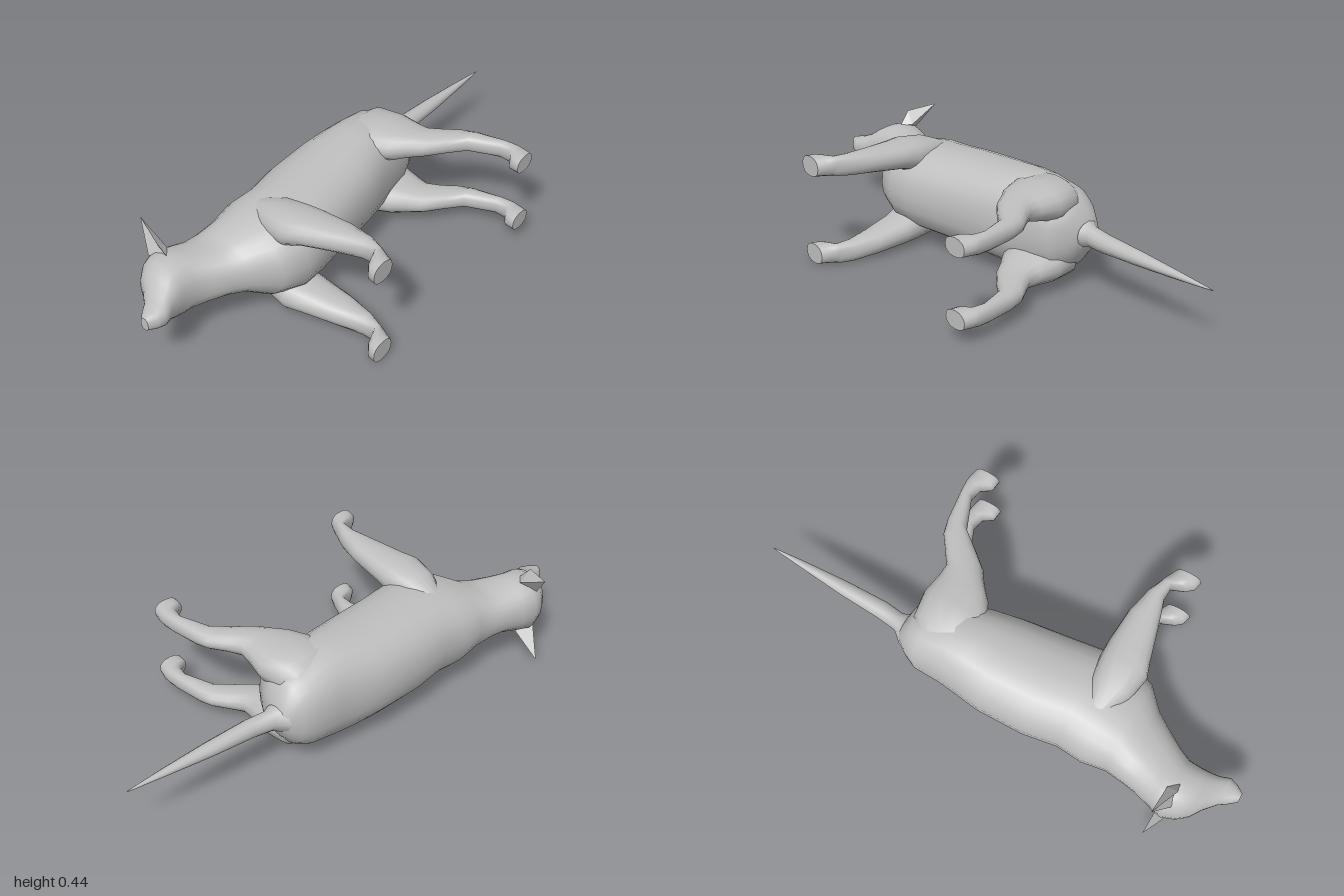
import * as THREE from 'three';

const MID = 0.22; // mirror plane: the animal lies on its side, feet towards +z
const fur = new THREE.MeshStandardMaterial({ color: 0xbfbfbf });
fur.name = 'greyFur';

// Loft of rounded rings {c, a, b}: centre and two half axes, a x b pointing along the loft
function loft(rings, n = 20, power = 2.3) {
  const pos = [], idx = [];
  const soft = (v) => Math.sign(v) * Math.abs(v) ** (2 / power);
  const addRing = ({ c, a, b }) => {
    for (let j = 0; j < n; j++) {
      const t = (j / n) * Math.PI * 2, u = soft(Math.cos(t)), v = soft(Math.sin(t));
      pos.push(...[0, 1, 2].map((k) => c[k] + a[k] * u + b[k] * v));
    }
  };
  rings.forEach(addRing);
  for (let i = 0; i < rings.length - 1; i++) {
    for (let j = 0; j < n; j++) {
      const p = i * n + j, q = i * n + ((j + 1) % n);
      idx.push(p, q, p + n, q, q + n, p + n);
    }
  }
  // Flat end caps with their own vertices so the rim stays sharp
  [rings[0], rings[rings.length - 1]].forEach((ring, end) => {
    const s = pos.length / 3;
    addRing(ring);
    pos.push(...ring.c);
    for (let j = 0; j < n; j++) {
      const p = s + j, q = s + ((j + 1) % n);
      if (end) idx.push(p, q, s + n);
      else idx.push(q, p, s + n);
    }
  });
  return finish(pos, idx);
}

function finish(pos, idx) {
  const g = new THREE.BufferGeometry();
  g.setAttribute('position', new THREE.Float32BufferAttribute(pos, 3));
  g.setIndex(idx);
  g.computeVertexNormals();
  return g;
}

// Section along x: [x, back z, belly z, half width]
const spineRing = ([x, z0, z1, w]) => ({
  c: [x, MID, (z0 + z1) / 2], a: [0, w, 0], b: [0, 0, (z1 - z0) / 2],
});

// Section along a leg: [z, x0, x1, outer y, inner y], mirrored by side
const legRing = (side) => ([z, x0, x1, y0, y1]) => ({
  c: [(x0 + x1) / 2, MID + side * (MID - (y0 + y1) / 2), z],
  a: [(x1 - x0) / 2, 0, 0], b: [0, (y1 - y0) / 2, 0],
});

const BODY = [
  [-1, -0.2, -0.165, 0.026], [-0.97, -0.225, -0.145, 0.035], [-0.94, -0.245, -0.135, 0.042],
  [-0.9, -0.29, -0.15, 0.06], [-0.87, -0.335, -0.155, 0.085], [-0.83, -0.365, -0.158, 0.108],
  [-0.78, -0.383, -0.155, 0.115], [-0.73, -0.37, -0.13, 0.108], [-0.66, -0.35, -0.085, 0.097],
  [-0.6, -0.34, -0.045, 0.105], [-0.53, -0.33, 0.03, 0.14], [-0.43, -0.345, 0.07, 0.165],
  [-0.33, -0.335, 0.063, 0.172], [-0.19, -0.358, 0.043, 0.175], [0, -0.36, 0.017, 0.182],
  [0.1, -0.345, -0.005, 0.19], [0.18, -0.335, -0.025, 0.188], [0.29, -0.333, -0.04, 0.165],
  [0.34, -0.31, -0.06, 0.14], [0.375, -0.285, -0.12, 0.09], [0.39, -0.27, -0.16, 0.05],
];

const TAIL = [
  [0.32, -0.31, -0.13, 0.08], [0.38, -0.285, -0.16, 0.055], [0.42, -0.25, -0.178, 0.04],
  [0.5, -0.24, -0.168, 0.035], [0.67, -0.23, -0.17, 0.026], [0.85, -0.212, -0.18, 0.014],
  [1, -0.196, -0.192, 0.002],
];

const FRONT_LEG = [
  [-0.22, -0.43, -0.37, 0.07, 0.15], [-0.1, -0.49, -0.33, 0.02, 0.15],
  [0, -0.51, -0.32, 0.01, 0.135], [0.06, -0.49, -0.32, 0.01, 0.115],
  [0.19, -0.455, -0.33, 0.005, 0.095], [0.29, -0.425, -0.355, 0, 0.085],
  [0.345, -0.425, -0.38, 0, 0.08], [0.365, -0.48, -0.385, 0, 0.08],
  [0.385, -0.505, -0.395, 0, 0.08], [0.415, -0.512, -0.41, 0, 0.08],
];

const HIND_LEG = [
  [-0.27, 0.2, 0.3, 0.08, 0.16], [-0.2, 0.11, 0.355, 0.028, 0.18],
  [-0.1, 0.1, 0.37, 0.028, 0.17], [-0.02, 0.14, 0.355, 0.035, 0.15],
  [0.03, 0.185, 0.35, 0.04, 0.135], [0.08, 0.22, 0.385, 0.045, 0.125],
  [0.135, 0.285, 0.425, 0.05, 0.12], [0.19, 0.355, 0.44, 0.05, 0.12],
  [0.31, 0.405, 0.455, 0.05, 0.12], [0.36, 0.395, 0.46, 0.05, 0.12],
  [0.385, 0.355, 0.46, 0.05, 0.12], [0.425, 0.35, 0.45, 0.05, 0.12],
];

// Pointed ear: a rim fanned to a hollow front centre and a bulging back centre
function ear(side) {
  const rim = [[-0.75, 0.185, -0.43], [-0.797, 0.165, -0.315], [-0.79, 0.11, -0.27], [-0.8, 0.08, -0.355]];
  const front = [-0.777, 0.125, -0.325], back = [-0.755, 0.115, -0.305];
  const pos = [], idx = [];
  rim.forEach((p, i) => {
    const q = rim[(i + 1) % rim.length];
    [[p, q, back], [q, p, front]].forEach((tri) => {
      if (side < 0) tri.reverse();
      tri.forEach(([x, y, z]) => {
        idx.push(pos.length / 3);
        pos.push(x, MID + side * y, z);
      });
    });
  });
  return finish(pos, idx);
}

export function createModel() {
  const model = new THREE.Group();
  model.name = 'animal';
  const add = (name, geometry) => {
    const mesh = new THREE.Mesh(geometry, fur);
    mesh.name = name;
    model.add(mesh);
  };

  add('bodyAndHead', loft(BODY.map(spineRing), 24));
  add('tail', loft(TAIL.map(spineRing), 12, 2));

  // Paired parts: lower side lies on the ground, upper side is its mirror
  for (const [label, side] of [['lower', -1], ['upper', 1]]) {
    add(label + 'FrontLeg', loft(FRONT_LEG.map(legRing(side)), 16));
    add(label + 'HindLeg', loft(HIND_LEG.map(legRing(side)), 16));
    add(label + 'Ear', ear(side));
  }
  return model;
}
